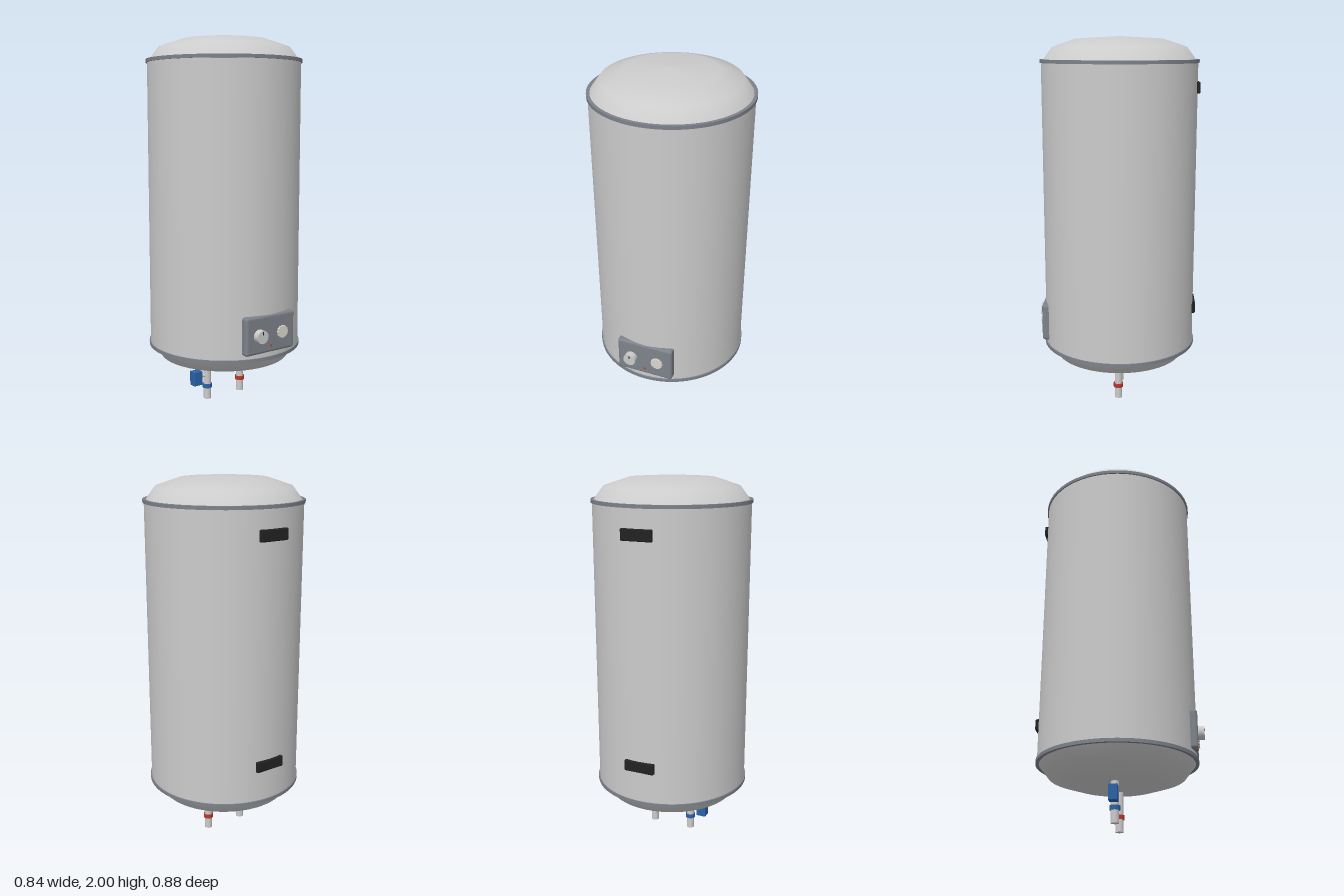
import * as THREE from 'three';
import { RoundedBoxGeometry } from 'three/addons/geometries/RoundedBoxGeometry.js';

const AXIS_Z = -0.016; // tank axis
const SEG = 64;

const mat = (color, side = THREE.FrontSide) => new THREE.MeshStandardMaterial({ color, side });
const grey = mat(0xcccccc);
const trim = mat(0x7d828a);
const black = mat(0x222222);
const blue = mat(0x2a62a8);
const red = mat(0xb8382c);

export function createModel() {
  const group = new THREE.Group();

  const add = (name, geometry, material, x, y, z) => {
    const mesh = new THREE.Mesh(geometry, material);
    mesh.name = name;
    mesh.position.set(x, y, z);
    group.add(mesh);
    return mesh;
  };
  const lathe = (points) =>
    new THREE.LatheGeometry(points.map(([r, y]) => new THREE.Vector2(r, y)), SEG);
  const cylinder = (r, h, seg = 24, open = false) => new THREE.CylinderGeometry(r, r, h, seg, 1, open);

  // Tank shell and its domed ends
  add('tankBody', cylinder(0.415, 1.55, SEG, true), grey, 0, 1.097, AXIS_Z);
  add('topDome', lathe([[0.41, 1.872], [0.355, 1.945], [0.23, 1.987], [0, 2]]), grey, 0, 0, AXIS_Z);
  add('bottomDome', lathe([[0, 0.2], [0.23, 0.213], [0.355, 0.255], [0.41, 0.325]]), grey, 0, 0, AXIS_Z);

  // Seam rings: closed rectangular section, split per face for sharp edges
  for (const [name, y] of [['topRim', 1.872], ['bottomRim', 0.325]]) {
    const a = 0.405, b = 0.422, h = 0.009;
    const corners = [[a, -h], [b, -h], [b, h], [a, h]];
    corners.forEach((p, i) => add(name, lathe([p, corners[(i + 1) % 4]]), trim, 0, y, AXIS_Z));
  }

  // Control panel
  add('controlPanel', new RoundedBoxGeometry(0.32, 0.205, 0.07, 4, 0.015), trim, 0, 0.458, 0.37);

  // Thermostat knob with pointer
  const knob = add('thermostatKnob', cylinder(0.035, 0.045, 32), grey, -0.078, 0.457, 0.416);
  knob.rotation.x = Math.PI / 2;
  add('knobPointer', new THREE.BoxGeometry(0.005, 0.018, 0.004), black, -0.078, 0.477, 0.4385);

  // Temperature gauge with a fluted edge
  const flutes = new THREE.Shape();
  for (let i = 0; i < 48; i++) {
    const t = (i / 48) * Math.PI * 2;
    const r = 0.033 + 0.0018 * Math.cos(t * 12);
    flutes[i ? 'lineTo' : 'moveTo'](r * Math.cos(t), r * Math.sin(t));
  }
  flutes.closePath();
  add('temperatureGauge', new THREE.ExtrudeGeometry(flutes, { depth: 0.015, bevelEnabled: false }),
    mat(0xd8d6cc), 0.074, 0.457, 0.4);

  // Indicator lamp
  const lamp = add('indicatorLamp', cylinder(0.007, 0.008, 16), mat(0xa8502c), 0, 0.393, 0.404);
  lamp.rotation.x = Math.PI / 2;

  // Wall brackets
  for (const y of [1.737, 0.53])
    add('wallBracket', new RoundedBoxGeometry(0.168, 0.06, 0.03, 3, 0.006), black, 0, y, -0.426);

  // Water pipes with coloured bands
  for (const [side, x, color] of [['cold', -0.117, blue], ['hot', 0.11, red]]) {
    add(side + 'Pipe', cylinder(0.021, 0.23), grey, x, 0.115, AXIS_Z);
    add(side + 'Band', cylinder(0.027, 0.022), color, x, 0.075, AXIS_Z);
  }

  // Safety valve on the cold pipe
  const stem = add('valveStem', cylinder(0.009, 0.06, 16), grey, -0.145, 0.135, AXIS_Z);
  stem.rotation.z = Math.PI / 2;
  add('valveHandle', new RoundedBoxGeometry(0.055, 0.08, 0.046, 2, 0.004), blue, -0.191, 0.132, AXIS_Z);

  return group;
}
